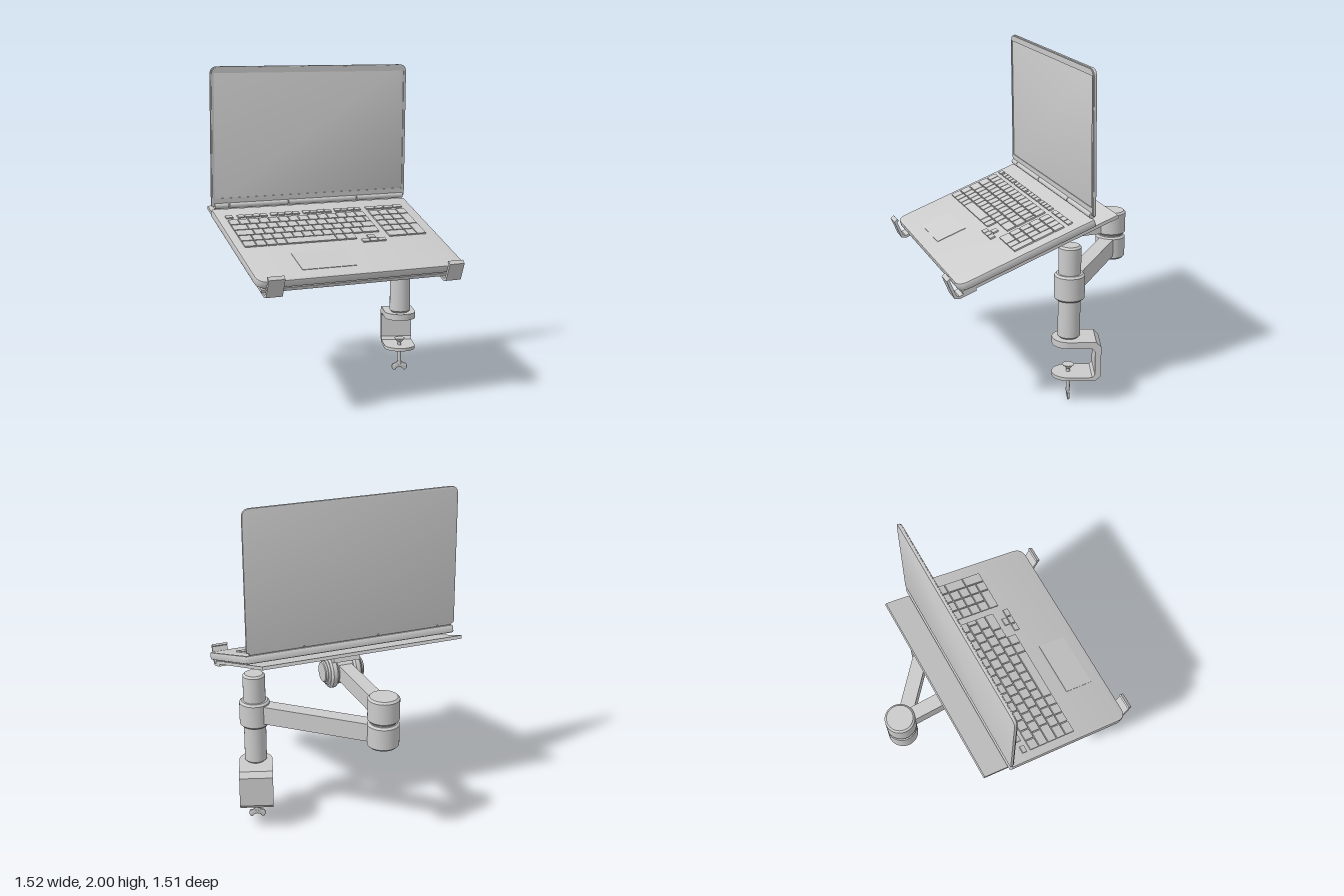
import * as THREE from 'three';
import { toCreasedNormals } from 'three/addons/utils/BufferGeometryUtils.js';

const grey = new THREE.MeshStandardMaterial({ color: 0xcccccc });
const YAW = 0.322, TILT = 0.351;

function add(parent, name, geo, x = 0, y = 0, z = 0) {
  const m = new THREE.Mesh(geo, grey);
  m.name = name;
  m.position.set(x, y, z);
  parent.add(m);
  return m;
}
function group(parent, name) {
  const g = new THREE.Group();
  g.name = name;
  parent.add(g);
  return g;
}
const box = (w, h, d) => new THREE.BoxGeometry(w, h, d);

// Rectangle with separate radii for its upper and lower corners
function roundRect(x0, x1, y0, y1, rTop, rBottom, Type = THREE.Shape) {
  const s = new Type();
  s.moveTo(x0 + rBottom, y0);
  s.lineTo(x1 - rBottom, y0);
  s.quadraticCurveTo(x1, y0, x1, y0 + rBottom);
  s.lineTo(x1, y1 - rTop);
  s.quadraticCurveTo(x1, y1, x1 - rTop, y1);
  s.lineTo(x0 + rTop, y1);
  s.quadraticCurveTo(x0, y1, x0, y1 - rTop);
  s.lineTo(x0, y0 + rBottom);
  s.quadraticCurveTo(x0, y0, x0 + rBottom, y0);
  return s;
}
function extrude(shape, depth, bevel = 0) {
  return toCreasedNormals(new THREE.ExtrudeGeometry(shape, {
    depth: depth - 2 * bevel, curveSegments: 6, bevelEnabled: bevel > 0,
    bevelSize: bevel, bevelThickness: bevel, bevelOffset: -bevel, bevelSegments: 2,
  }).translate(0, 0, bevel), 0.6);
}
// Side profile of (z, y) points, extruded across x and centred
function across(points, width) {
  const s = new THREE.Shape(points.map(p => new THREE.Vector2(...p)));
  return extrude(s, width).rotateY(-Math.PI / 2).translate(width / 2, 0, 0);
}
// Upright cylinder with chamfered rims, from y0 to y1
function drum(r, y0, y1, c = 0.012) {
  const p = [[0, y0], [r - c, y0], [r, y0 + c], [r, y1 - c], [r - c, y1], [0, y1]];
  return toCreasedNormals(new THREE.LatheGeometry(p.map(q => new THREE.Vector2(...q)), 40), 0.5);
}

function buildClamp(root) {
  const g = group(root, 'deskClamp');
  g.position.set(0.47, 0, -0.335);
  add(g, 'clampBracket', across([[0, 0.4], [-0.155, 0.4], [-0.185, 0.37], [-0.185, 0.185], [-0.155, 0.155],
    [0, 0.155], [0, 0.175], [-0.135, 0.175], [-0.15, 0.195], [-0.15, 0.34], [-0.13, 0.36], [0, 0.36]], 0.2));
  // Rounded front ends of both jaws
  for (const [y, h] of [[0.38, 0.04], [0.165, 0.02]])
    add(g, 'clampJaw', new THREE.CylinderGeometry(0.1, 0.1, h, 24, 1, false, -Math.PI / 2, Math.PI), 0, y, 0);
  add(g, 'clampPad', new THREE.CylinderGeometry(0.036, 0.014, 0.025, 24), 0, 0.208, 0);
  add(g, 'clampScrew', new THREE.CylinderGeometry(0.012, 0.012, 0.16, 16), 0, 0.125, 0);
  const wing = new THREE.Shape();
  wing.moveTo(-0.012, 0.07);
  wing.quadraticCurveTo(-0.02, 0.05, -0.042, 0.05);
  wing.quadraticCurveTo(-0.06, 0.03, -0.042, 0.008);
  wing.quadraticCurveTo(-0.03, -0.002, -0.018, 0.018);
  wing.quadraticCurveTo(0, 0.03, 0.018, 0.018);
  wing.quadraticCurveTo(0.03, -0.002, 0.042, 0.008);
  wing.quadraticCurveTo(0.06, 0.03, 0.042, 0.05);
  wing.quadraticCurveTo(0.02, 0.05, 0.012, 0.07);
  add(g, 'wingNut', extrude(wing, 0.014, 0.004), 0, 0, -0.007);
  add(g, 'post', drum(0.066, 0.4, 0.97));
  add(g, 'postCollar', drum(0.09, 0.64, 0.8));
}

function buildArms(root, stand) {
  const a = new THREE.Vector3(-0.265, 0, -0.652), b = new THREE.Vector3(0.47, 0, -0.335);
  const lower = add(root, 'lowerArm', box(0.09, 0.11, a.distanceTo(b)));
  lower.position.copy(a).add(b).multiplyScalar(0.5).setY(0.725);
  lower.rotation.y = Math.atan2(b.x - a.x, b.z - a.z);
  // Elbow of two stacked drums
  add(root, 'elbowLower', drum(0.093, 0.64, 0.79), a.x, 0, a.z);
  add(root, 'elbowPin', new THREE.CylinderGeometry(0.075, 0.075, 0.04, 32), a.x, 0.795, a.z);
  add(root, 'elbowUpper', drum(0.093, 0.8, 0.95), a.x, 0, a.z);
  add(stand, 'upperArm', box(0.085, 0.1, 0.62), -0.046, 0.86, -0.39);
  // Tilting joint under the tray
  const j = group(stand, 'tiltJoint');
  j.position.set(-0.046, 0.855, -0.065);
  j.rotation.z = Math.PI / 2;
  add(j, 'jointCore', drum(0.085, -0.11, 0.11));
  for (const s of [-1, 1]) {
    add(j, 'jointCheek', drum(0.104, -0.025, 0.025), 0, s * 0.075, 0);
    add(j, 'jointCap', drum(0.065, -0.012, 0.012, 0.005), 0, s * 0.115, 0);
  }
}

function buildTray(deck) {
  add(deck, 'tray', box(1.25, 0.02, 1.01), -0.005, -0.07, -0.085);
  add(deck, 'trayMount', box(0.17, 0.06, 0.14), -0.015, -0.105, -0.19);
  const hook = across([[0.34, -0.095], [0.45, -0.095], [0.475, -0.08], [0.48, 0.035], [0.455, 0.045],
    [0.45, 0.033], [0.463, 0.028], [0.458, -0.07], [0.445, -0.08], [0.34, -0.08]], 0.1);
  for (const s of [-1, 1]) add(deck, 'trayHook', hook, s * 0.57, 0, 0);
}

function buildKeyboard(deck) {
  const keys = group(deck, 'keyboard');
  // A key from its plan extents, before tilting
  const key = (u0, u1, w0, w1) => add(keys, 'key', box(u1 - u0 - 0.007, 0.014, (w1 - w0) / 0.94 - 0.007),
    (u0 + u1) / 2 + 0.03, 0.002, ((w0 + w1) / 2 - 0.125) / 0.94);
  const unit = 0.0645, pitch = 0.062, left = -0.64, top = -0.135;
  const ones = n => Array(n).fill(1);
  [
    ones(14),
    [1.5, ...ones(12), 0.5],
    [1.75, ...ones(11), 1.25],
    [1.25, ...ones(11), 1.75],
    [1.2, 1, 1, 1, 5, 1, 1],
  ].forEach((row, r) => {
    let u = left;
    for (const n of row) {
      key(u, u + n * unit, top + r * pitch, top + (r + 1) * pitch);
      u += n * unit;
    }
  });
  // Small top row in sets of four
  key(left, left + 0.05, -0.187, -0.153);
  for (const [start, end] of [[-0.565, -0.37], [-0.35, -0.155], [-0.135, 0.06], [0.08, 0.263]])
    for (let i = 0; i < 4; i++) {
      const w = (end - start) / 4;
      key(start + i * w, start + (i + 1) * w, -0.187, -0.153);
    }
  // Number pad, with tall keys on the right and a wide zero
  for (let i = 0; i < 4; i++) {
    const u = 0.297 + i * unit;
    key(u, u + unit, -0.187, -0.153);
    for (let r = 0; r < 5; r++) {
      const w = top + r * pitch;
      if (i === 3 && r > 0) {
        if (r % 2) key(u, u + unit, w, w + 2 * pitch);
      } else if (r === 4 && i < 2) {
        if (i === 0) key(u, u + 2 * unit, w, w + pitch);
      } else key(u, u + unit, w, w + pitch);
    }
  }
  // Arrow keys
  for (let i = 0; i < 3; i++) key(0.1 + i * 0.054, 0.154 + i * 0.054, 0.18, 0.218);
  key(0.154, 0.208, 0.142, 0.18);
}

function buildLaptop(stand, deck) {
  const base = extrude(roundRect(-0.66, 0.66, -0.436, 0.436, 0.01, 0.07), 0.048, 0.01);
  add(deck, 'laptopBase', base.rotateX(-Math.PI / 2), 0, -0.048, 0);
  add(deck, 'touchpad', box(0.34, 0.006, 0.19), -0.19, 0, 0.25);
  buildKeyboard(deck);

  // Nearly upright lid with a raised bezel
  const lid = group(stand, 'laptopLid');
  lid.position.set(-0.03, 1.14, -0.285);
  lid.rotation.x = 0.018;
  add(lid, 'lidShell', extrude(roundRect(-0.66, 0.66, 0.01, 0.86, 0.05, 0.01), 0.018, 0.004), 0, 0, -0.01);
  const bezel = roundRect(-0.655, 0.655, 0.015, 0.855, 0.05, 0.01);
  bezel.holes.push(roundRect(-0.64, 0.64, 0.06, 0.82, 0.004, 0.004, THREE.Path));
  add(lid, 'bezel', extrude(bezel, 0.006), 0, 0, 0.007);

  // Hinge barrel in sections
  const ends = [-0.645, -0.55, -0.16, 0.31, 0.645];
  for (let i = 0; i < 4; i++) {
    const len = ends[i + 1] - ends[i] - 0.006;
    const h = add(stand, 'hinge', new THREE.CylinderGeometry(0.018, 0.018, len, 20),
      (ends[i] + ends[i + 1]) / 2 - 0.03, 1.152, -0.277);
    h.rotation.z = Math.PI / 2;
  }
}

export function createModel() {
  const root = new THREE.Group();
  root.name = 'laptopOnDeskArm';
  const stand = group(root, 'turnedAssembly');
  stand.rotation.y = YAW;
  const deck = group(stand, 'tiltedDeck');
  deck.position.set(-0.03, 0.985, 0.125);
  deck.rotation.x = TILT;
  buildClamp(root);
  buildArms(root, stand);
  buildTray(deck);
  buildLaptop(stand, deck);
  return root;
}
